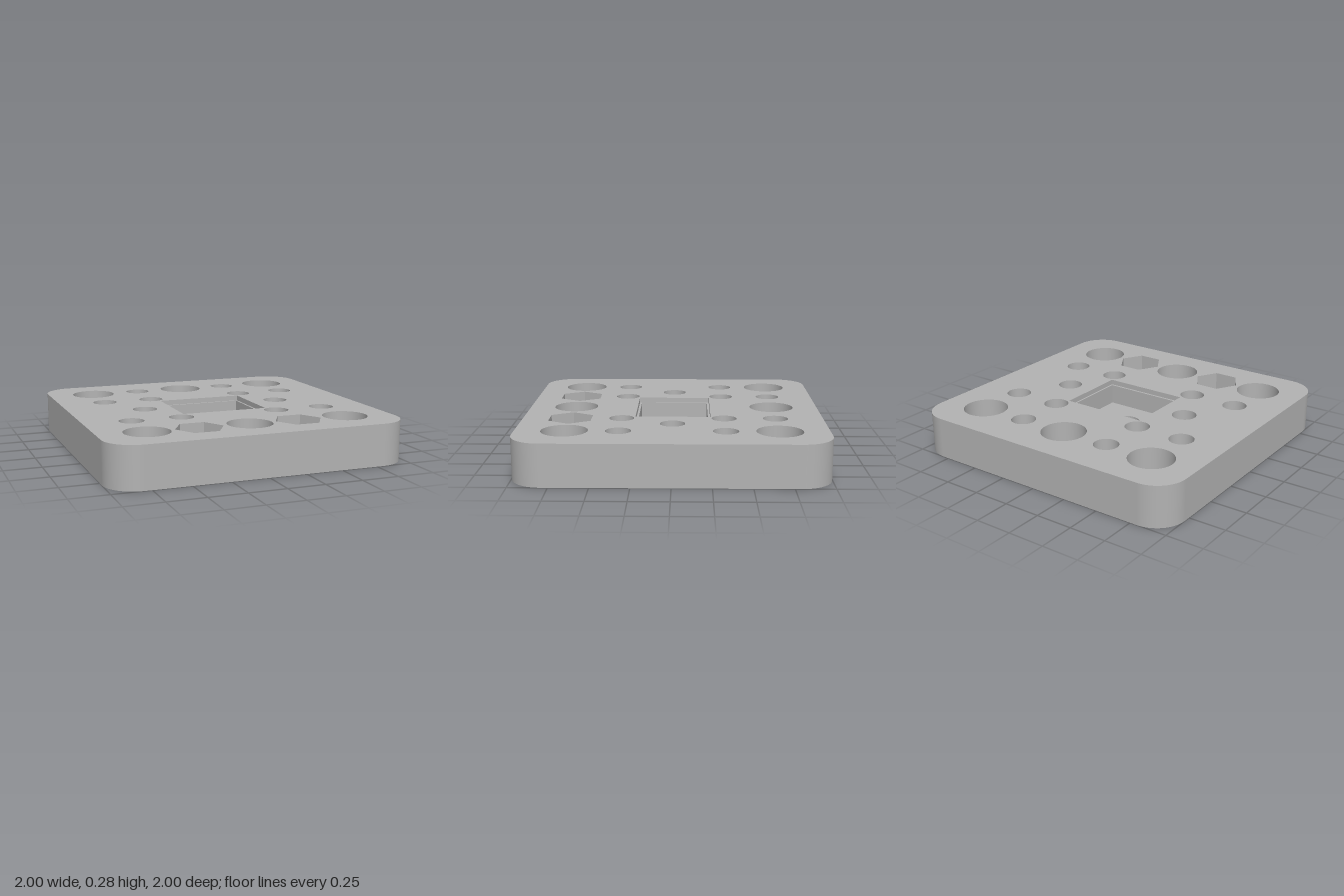
import * as THREE from 'three';
import { mergeGeometries } from 'three/addons/utils/BufferGeometryUtils.js';

const T = 0.277;          // plate thickness
const SEG = 48;           // sides of a round hole
const CORNER = 0.205;     // plate corner radius
const POCKET_FLOOR = 0.105, LEDGE = T - 0.035;
const NUT_FLOOR = 0.11, STEP = 0.01, NUT_R = 0.162, NUT_HOLE = NUT_R / 2;

// Outlines as [x, z] loops
const ring = (x, z, r, n = SEG, start = 0) => Array.from({ length: n }, (_, i) => {
  const a = start + (i / n) * Math.PI * 2;
  return [x + r * Math.sin(a), z + r * Math.cos(a)];
});
const rect = (x, z, hx, hz) => [[x - hx, z - hz], [x + hx, z - hz], [x + hx, z + hz], [x - hx, z + hz]];
const hexagon = (x, z) => ring(x, z, NUT_R, 6, Math.PI / 2);

// Rounded plate outline: [x, z, normal x, normal z]
function plateOutline() {
  const pts = [], n = 16, c = 1 - CORNER;
  for (let q = 0; q < 4; q++) {
    const sx = q < 2 ? 1 : -1, sz = q === 0 || q === 3 ? 1 : -1;
    for (let i = 0; i <= n; i++) {
      const a = (q + i / n) * Math.PI / 2, s = Math.sin(a), k = Math.cos(a);
      pts.push([sx * c + CORNER * s, sz * c + CORNER * k, s, k]);
    }
  }
  return pts;
}

// Horizontal face at height y, facing up or down
function face(outline, holes, y, up = true) {
  const vec = (loop) => loop.map(([x, z]) => new THREE.Vector2(x, up ? -z : z));
  const shape = new THREE.Shape(vec(outline));
  shape.holes = holes.map((h) => new THREE.Path(vec(h)));
  return new THREE.ShapeGeometry(shape).rotateX(up ? -Math.PI / 2 : Math.PI / 2).translate(0, y, 0);
}

// Inward-facing round wall, straight or conical
function roundWall(x, z, rTop, yTop, rBottom, yBottom) {
  const profile = [new THREE.Vector2(rTop, yTop), new THREE.Vector2(rBottom, yBottom)];
  return new THREE.LatheGeometry(profile, SEG).translate(x, 0, z);
}

// Inward-facing flat-sided wall
function prismWall(x, z, hx, hz, yTop, yBottom, sides, start) {
  const profile = [new THREE.Vector2(1, yTop), new THREE.Vector2(1, yBottom)];
  const g = new THREE.LatheGeometry(profile, sides, start).scale(hx, 1, hz).translate(x, 0, z).toNonIndexed();
  g.computeVertexNormals();
  return g;
}
const rectWall = (x, z, hx, hz, y1, y0) =>
  prismWall(x, z, hx * Math.SQRT2, hz * Math.SQRT2, y1, y0, 4, Math.PI / 4);

// Outer side wall with smooth corners
function sideWall(outline) {
  const pos = [], nor = [], idx = [], n = outline.length;
  outline.forEach(([x, z, nx, nz], i) => {
    pos.push(x, 0, z, x, T, z);
    nor.push(nx, 0, nz, nx, 0, nz);
    const a = 2 * i, b = 2 * ((i + 1) % n);
    idx.push(a, b, a + 1, b, b + 1, a + 1);
  });
  const g = new THREE.BufferGeometry();
  g.setAttribute('position', new THREE.Float32BufferAttribute(pos, 3));
  g.setAttribute('normal', new THREE.Float32BufferAttribute(nor, 3));
  g.setIndex(idx);
  return g;
}

export function createModel() {
  const group = new THREE.Group();
  group.name = 'mountingPlate';
  const grey = new THREE.MeshStandardMaterial({ color: 0xb2b2b2 });
  grey.name = 'grey';

  const add = (name, geometries) => {
    const parts = geometries.map((g) => {
      const p = g.index ? g.toNonIndexed() : g;
      p.deleteAttribute('uv');
      return p;
    });
    const mesh = new THREE.Mesh(mergeGeometries(parts), grey);
    mesh.name = name;
    group.add(mesh);
  };

  // Hole layout: [x, z, radius]
  const large = [], small = [];
  for (const z of [-0.682, 0.682]) for (const x of [-0.682, 0, 0.682]) large.push([x, z, 0.15]);
  for (const s of [-1, 1]) {
    small.push([s * 0.341, -0.682, 0.083]);
    for (const z of [-0.341, 0.341]) small.push([s * 0.341, z, 0.083], [s * 0.682, z, 0.083]);
  }
  const through = [...large, ...small];
  const sunk = [[-0.488, 0], [0.488, 0]];
  const nuts = [[-0.341, 0.682], [0.341, 0.682]];
  const floorHoles = [[0, 0, 0.104], [-0.205, 0, 0.052], [0.205, 0, 0.052]];
  const rings = (list) => list.map((h) => ring(...h));
  const outline = plateOutline();
  const pocketOuter = rect(0, 0, 0.297, 0.252), pocketInner = rect(0, 0, 0.284, 0.237);

  // Plate skin
  add('topFace', [face(outline, [
    ...rings(through),
    ...sunk.map(([x, z]) => ring(x, z, 0.083)),
    ...nuts.map(([x, z]) => hexagon(x, z)),
    pocketOuter,
  ], T)]);
  add('bottomFace', [face(outline, [
    ...rings(through), ...rings(floorHoles),
    ...sunk.map(([x, z]) => ring(x, z, 0.165)),
    ...nuts.map(([x, z]) => ring(x, z, NUT_HOLE - 0.0005)),
  ], 0, false)]);
  add('sideWall', [sideWall(outline)]);

  // Straight holes
  add('largeHoles', large.map(([x, z, r]) => roundWall(x, z, r, T, r, 0)));
  add('smallHoles', small.map(([x, z, r]) => roundWall(x, z, r, T, r, 0)));

  // Screw holes, countersunk from below
  add('countersunkHoles', sunk.flatMap(([x, z]) => [
    roundWall(x, z, 0.083, T, 0.083, 0.083),
    roundWall(x, z, 0.083, 0.083, 0.165, 0),
  ]));

  // Central stepped pocket
  add('centrePocket', [
    rectWall(0, 0, 0.297, 0.252, T, LEDGE),
    face(pocketOuter, [pocketInner], LEDGE),
    rectWall(0, 0, 0.284, 0.237, LEDGE, POCKET_FLOOR),
    face(pocketInner, rings(floorHoles), POCKET_FLOOR),
    ...floorHoles.map(([x, z, r]) => roundWall(x, z, r, POCKET_FLOOR, r, 0)),
  ]);

  // Hexagonal nut pockets, stepping to a slot, a square and a round hole
  const h = NUT_HOLE, flat = NUT_R * Math.sqrt(3) / 2;
  const y1 = NUT_FLOOR - STEP, y2 = y1 - STEP;
  add('nutPockets', nuts.flatMap(([x, z]) => [
    prismWall(x, z, NUT_R, NUT_R, T, NUT_FLOOR, 6, Math.PI / 2),
    ...[-1, 1].map((s) => face([[x + s * h, z - flat], [x + s * NUT_R, z], [x + s * h, z + flat]], [], NUT_FLOOR)),
    rectWall(x, z, h, flat, NUT_FLOOR, y1),
    ...[-1, 1].map((s) => face(rect(x, z + s * (h + flat) / 2, h, (flat - h) / 2), [], y1)),
    rectWall(x, z, h, h, y1, y2),
    face(rect(x, z, h, h), [ring(x, z, h - 0.0005)], y2),
    roundWall(x, z, h - 0.0005, y2, h - 0.0005, 0),
  ]));

  return group;
}
